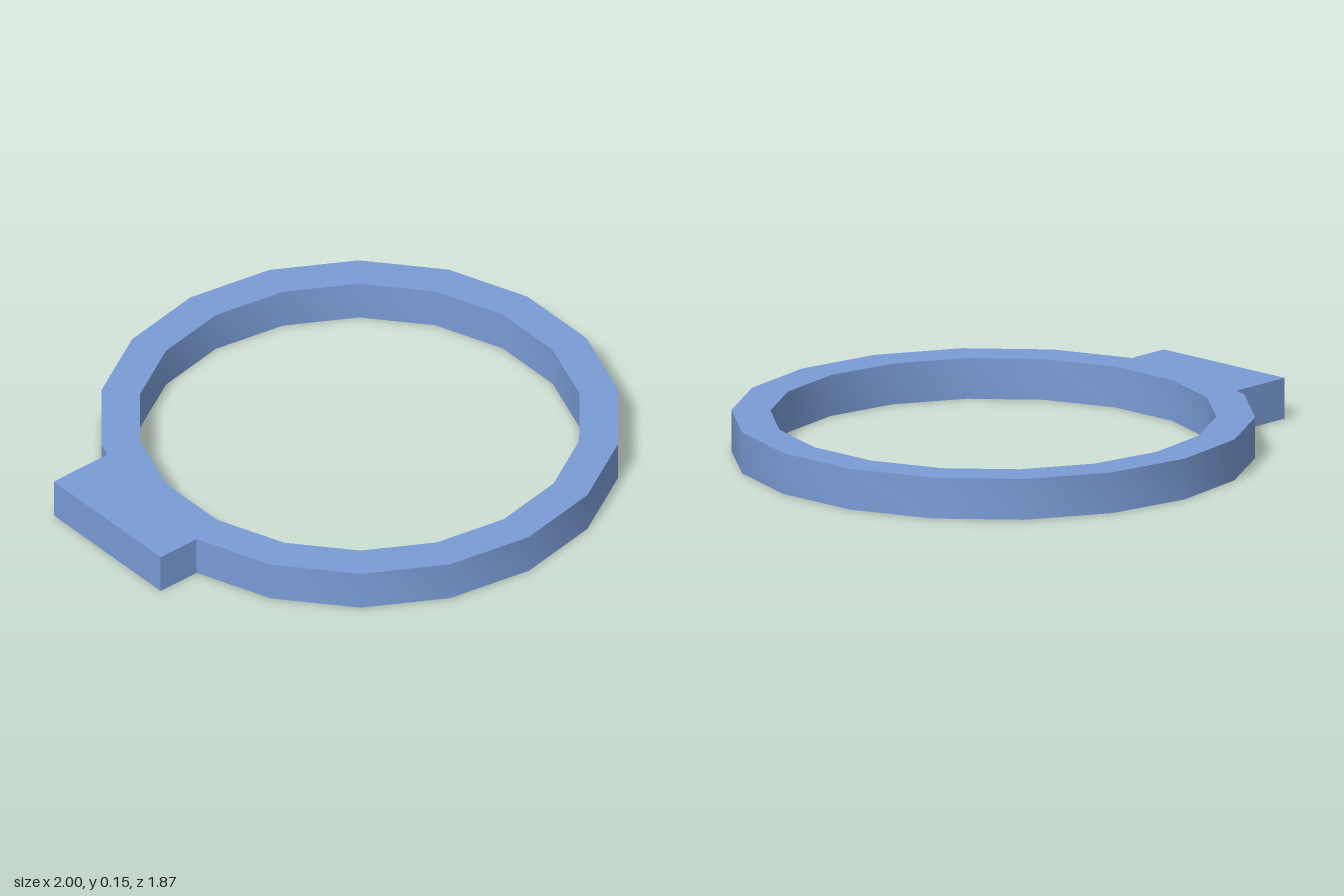
import * as THREE from 'three';
import { toCreasedNormals } from 'three/addons/utils/BufferGeometryUtils.js';

const SIDES = 18, CENTRE_X = 0.08, OUTER = 0.934, INNER = 0.795, HEIGHT = 0.15;

// Corners of the ring polygon, counter-clockwise from a start angle in degrees
function ringPoints(radius, startDeg, count) {
  return Array.from({ length: count }, (_, i) => {
    const a = THREE.MathUtils.degToRad(startDeg + (i * 360) / SIDES);
    return new THREE.Vector2(CENTRE_X + radius * Math.cos(a), radius * Math.sin(a));
  });
}

export function createModel() {
  const group = new THREE.Group();
  group.name = 'ringWithTab';

  // Outer outline: the ring, interrupted by the square tab on the -x side
  const outline = new THREE.Shape([
    ...ringPoints(OUTER, 210, SIDES - 2),
    new THREE.Vector2(-0.75, 0.41),
    new THREE.Vector2(-1, 0.41),
    new THREE.Vector2(-1, -0.18),
    new THREE.Vector2(-0.833, -0.18),
  ]);
  // Round opening
  outline.holes.push(new THREE.Path(ringPoints(INNER, 10, SIDES)));

  // Extruded upward; walls smooth, rims and tab corners sharp
  const geometry = new THREE.ExtrudeGeometry(outline, { depth: HEIGHT, bevelEnabled: false });
  geometry.rotateX(-Math.PI / 2);
  const ring = new THREE.Mesh(
    toCreasedNormals(geometry, Math.PI / 6),
    new THREE.MeshStandardMaterial({ color: 0x7a9cd6 })
  );
  ring.name = 'ringBody';
  group.add(ring);
  return group;
}
